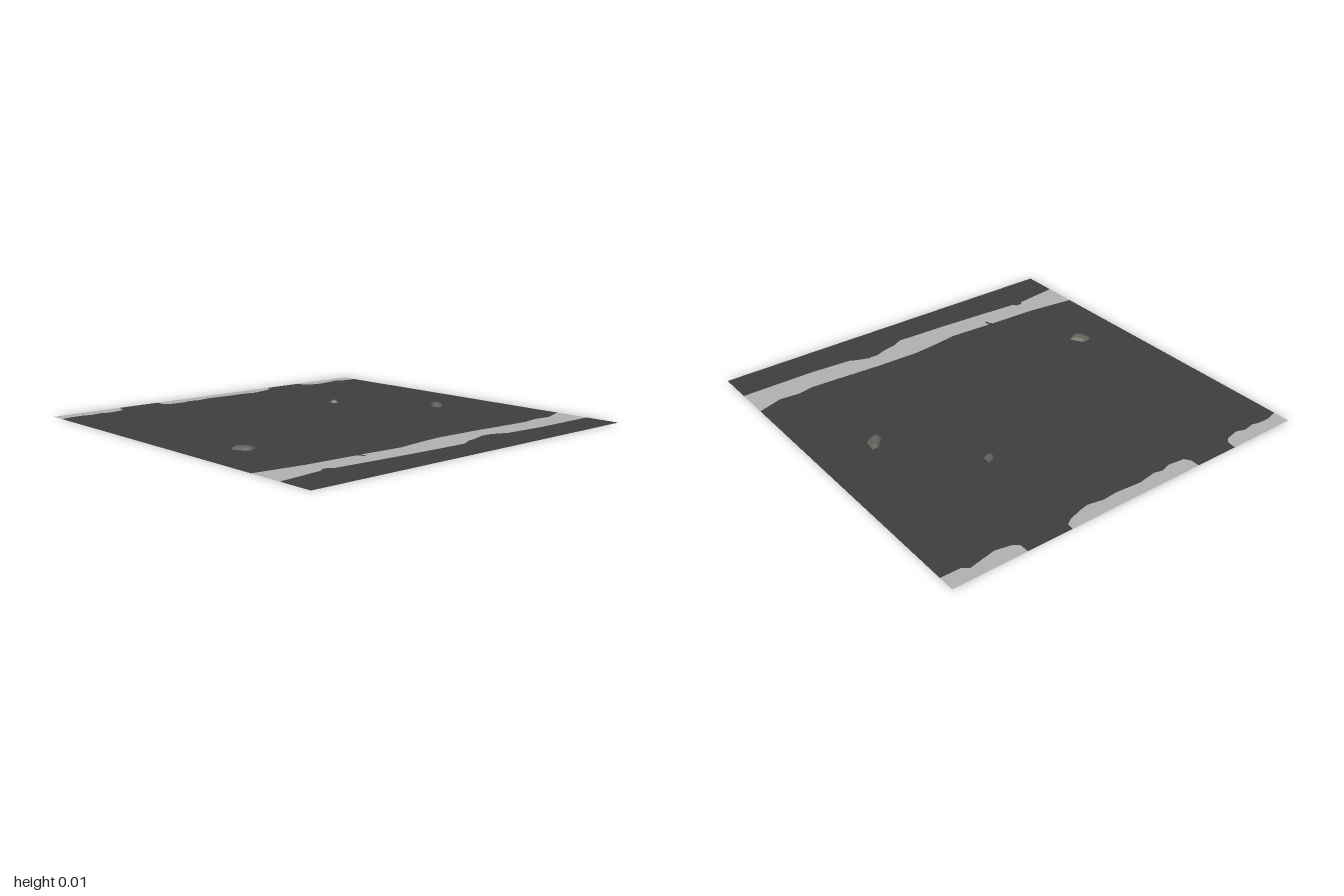
import * as THREE from 'three';

// Ragged paint edges as [x, z], running left to right across the tile
const stripeBack = [[-1, .634], [-.74, .666], [-.465, .676], [-.455, .69], [-.448, .715], [-.438, .712], [-.44, .677],
  [-.21, .69], [-.07, .67], [.06, .655], [.3, .66], [.57, .676], [.68, .682], [.765, .666], [.87, .676], [.95, .65], [1, .634]];
const stripeFront = [[-1, .815], [-.85, .797], [-.755, .785], [-.745, .768], [-.71, .768], [-.695, .787], [-.5, .8],
  [-.235, .815], [.06, .825], [.12, .795], [.18, .785], [.245, .762], [.3, .762], [.35, .778], [.395, .8], [.62, .815], [1, .815]];
const dashes = [
  [[-1, -1], [-1, -.912], [-.94, -.928], [-.87, -.928], [-.835, -.917], [-.77, -.928], [-.727, -.912], [-.65, -.928],
    [-.625, -.955], [-.62, -1]],
  [[-.38, -1], [-.38, -.95], [-.36, -.922], [-.273, -.912], [-.22, -.928], [-.176, -.917], [-.075, -.933], [.06, -.922],
    [.14, -.928], [.22, -.912], [.27, -.922], [.342, -.944], [.374, -.965], [.38, -1]],
  [[.62, -1], [.62, -.95], [.65, -.928], [.727, -.912], [.81, -.928], [.87, -.94], [.9, -.917], [1, -.915], [1, -1]],
];

// Pebble footprints as [x, z]
const pebbles = [
  [[-.78, .205], [-.73, .2], [-.69, .265], [-.74, .3], [-.77, .285], [-.79, .23]],
  [[.74, .015], [.725, .085], [.685, .11], [.655, .115], [.65, .075], [.705, .015]],
  [[.32, -.375], [.34, -.39], [.37, -.4], [.365, -.355], [.345, -.345], [.32, -.36]],
];

// Flat ground piece from an outline in x, z
function flat(outline) {
  const shape = new THREE.Shape(outline.map(([x, z]) => new THREE.Vector2(x, -z)));
  return new THREE.ShapeGeometry(shape).rotateX(-Math.PI / 2);
}

// Low faceted stone: footprint tapering to a smaller flat top
function pebbleGeometry(base, height = .012, taper = .62) {
  const n = base.length;
  const cx = base.reduce((s, p) => s + p[0], 0) / n;
  const cz = base.reduce((s, p) => s + p[1], 0) / n;
  const low = base.map(([x, z]) => [x, 0, z]);
  const high = base.map(([x, z]) => [cx + (x - cx) * taper, height, cz + (z - cz) * taper]);
  const corners = [];
  for (let i = 0; i < n; i++) {
    const j = (i + 1) % n;
    corners.push(low[j], low[i], high[i], low[j], high[i], high[j], [cx, height, cz], high[j], high[i]);
  }
  const geo = new THREE.BufferGeometry();
  geo.setAttribute('position', new THREE.Float32BufferAttribute(corners.flat(), 3));
  geo.computeVertexNormals();
  return geo;
}

export function createModel() {
  const material = (name, color) => {
    const m = new THREE.MeshStandardMaterial({ color, side: THREE.DoubleSide });
    m.name = name;
    return m;
  };
  const asphalt = material('asphalt', 0x3e3e3e);
  const paint = material('worn paint', 0xb0b0b0);
  const stone = material('stone', 0x62625b);
  stone.flatShading = true;

  const group = new THREE.Group();
  group.name = 'roadTile';
  const add = (name, geometry, mat) => {
    const mesh = new THREE.Mesh(geometry, mat);
    mesh.name = name;
    group.add(mesh);
  };

  // Road surface, cut to fit around the painted lines
  add('roadSurface', flat([...dashes.flat(), ...[...stripeBack].reverse()]), asphalt);
  add('roadEdge', flat([...stripeFront, [1, 1], [-1, 1]]), asphalt);

  // Painted side line and the halves of the centre dashes at the back
  add('sideLine', flat([...stripeBack, ...[...stripeFront].reverse()]), paint);
  dashes.forEach((d, i) => add(`centreDash${i + 1}`, flat(d), paint));

  // Loose stones
  pebbles.forEach((p, i) => add(`pebble${i + 1}`, pebbleGeometry(p), stone));
  return group;
}
